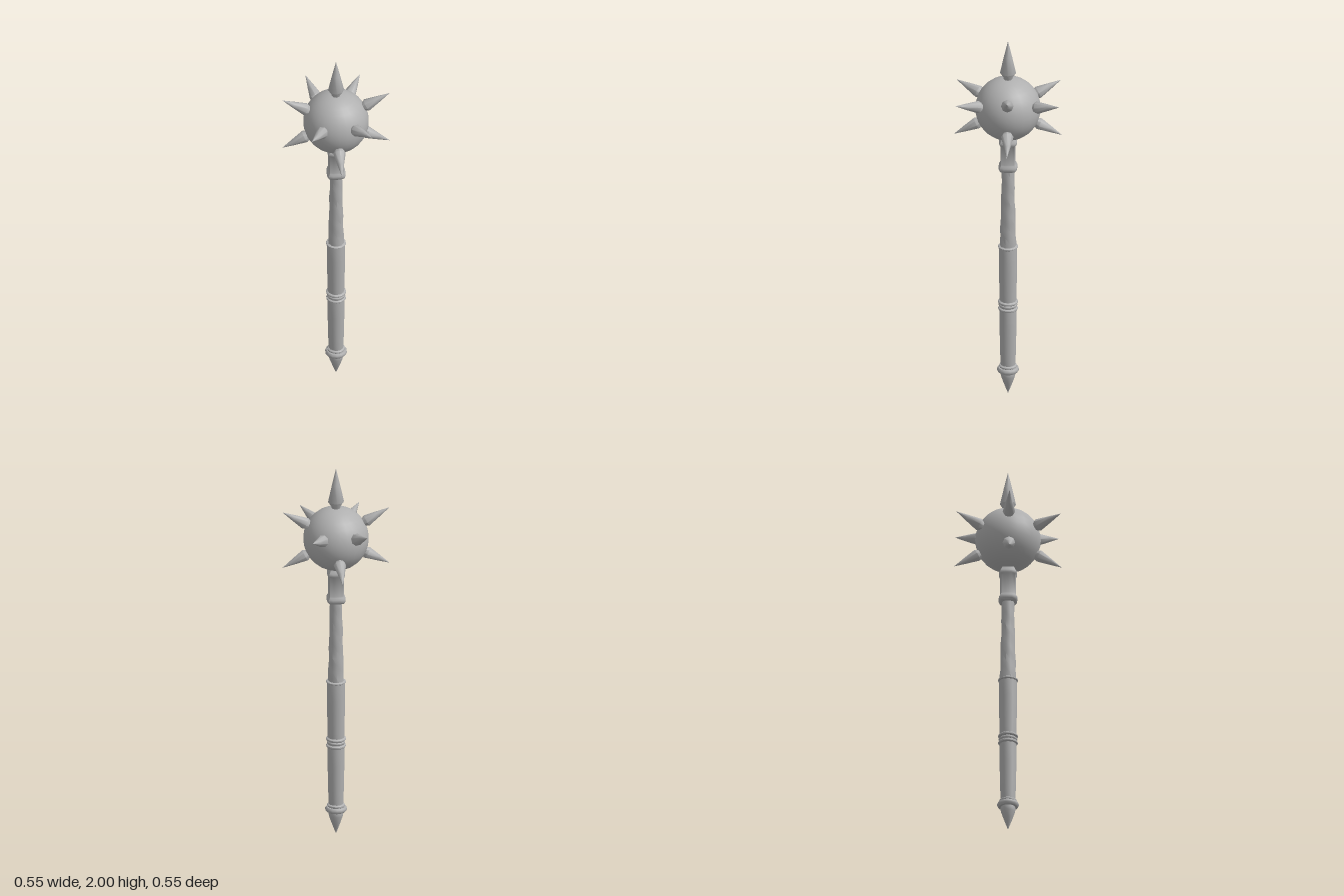
import * as THREE from 'three';
import { mergeVertices, toCreasedNormals } from 'three/addons/utils/BufferGeometryUtils.js';

const steel = new THREE.MeshStandardMaterial({ color: 0xb0b0b0 });
steel.name = 'steel grey';

const BALL_Y = 1.62;
const BALL_R = 0.167;

// Turned part from [radius, height] pairs, listed bottom to top.
// shape(angle, y) scales the radius, for squared or uneven sections.
function turned(name, profile, sides, shape, crease = 0.8) {
  const points = profile.map(([r, y]) => new THREE.Vector2(r, y));
  let geometry = new THREE.LatheGeometry(points, sides);
  if (shape) {
    const p = geometry.attributes.position;
    for (let i = 0; i < p.count; i++) {
      const k = shape(Math.atan2(p.getZ(i), p.getX(i)), p.getY(i));
      p.setX(i, p.getX(i) * k);
      p.setZ(i, p.getZ(i) * k);
    }
  }
  geometry.deleteAttribute('uv');
  geometry.deleteAttribute('normal');
  geometry = toCreasedNormals(mergeVertices(geometry), crease);
  const mesh = new THREE.Mesh(geometry, steel);
  mesh.name = name;
  return mesh;
}

// Spike with a narrow neck, flared base and long point, aimed at the tip.
function spike(name, base, tip, radius) {
  const length = base.distanceTo(tip);
  const mesh = turned(name, [
    [radius * 0.5, -0.045], [radius * 0.55, -0.028], [radius, 0],
    [radius * 0.52, length * 0.5], [0, length],
  ], 8, null, 0.9);
  mesh.position.copy(base);
  const aim = tip.clone().sub(base).normalize();
  mesh.quaternion.setFromUnitVectors(new THREE.Vector3(0, 1, 0), aim);
  return mesh;
}

export function createModel() {
  const model = new THREE.Group();
  model.name = 'spikedMace';
  const centre = new THREE.Vector3(0, BALL_Y, 0);

  // Head
  const ball = new THREE.Mesh(new THREE.SphereGeometry(BALL_R, 24, 16), steel);
  ball.name = 'ball';
  ball.position.copy(centre);
  model.add(ball);

  // Spikes around the head: six above the middle, four below, one on top
  const tips = [];
  for (const s of [1, -1]) {
    tips.push([s * 0.275, 1.775, 0], [s * 0.275, 1.47, 0], [0, 1.47, s * 0.275]);
    tips.push([s * 0.153, 1.703, 0.265], [s * 0.153, 1.703, -0.265]);
  }
  const spikes = new THREE.Group();
  spikes.name = 'spikes';
  for (const t of tips) {
    const tip = new THREE.Vector3(...t);
    const base = tip.clone().sub(centre).setLength(0.18).add(centre);
    // One spike at the back is knocked out of line
    if (t[0] < 0 && t[2] < 0) tip.set(-0.127, 1.72, -0.267);
    spikes.add(spike('sideSpike', base, tip, 0.032));
  }
  spikes.add(spike('topSpike', new THREE.Vector3(0, 1.82, 0), new THREE.Vector3(0, 2, 0), 0.041));
  model.add(spikes);

  // Squared socket with a collar at each end
  const squared = (a) =>
    Math.pow(Math.abs(Math.cos(a)) ** 5 + Math.abs(Math.sin(a)) ** 5, -0.2);
  model.add(turned('socket', [
    [0.03, 1.268], [0.042, 1.272], [0.047, 1.28], [0.047, 1.295], [0.041, 1.306],
    [0.039, 1.312], [0.039, 1.415], [0.045, 1.422], [0.045, 1.435], [0.039, 1.445], [0.03, 1.47],
  ], 16, squared));

  // Rough-hewn upper shaft
  const hewn = (a, y) =>
    1 + 0.035 * Math.sin(3 * a + y * 37) + 0.025 * Math.sin(2 * a - y * 61);
  const shaft = [];
  for (let i = 0; i <= 12; i++) {
    const t = i / 12;
    shaft.push([0.032 + 0.01 * (1 - t) ** 1.5, 0.82 + 0.46 * t]);
  }
  model.add(turned('upperShaft', shaft, 10, hewn));

  // Two grip sections
  model.add(turned('upperGrip', [
    [0.042, 0.51], [0.043, 0.56], [0.045, 0.65], [0.046, 0.74], [0.046, 0.83],
  ], 12));
  model.add(turned('lowerGrip', [
    [0.037, 0.15], [0.039, 0.2], [0.041, 0.28], [0.043, 0.38], [0.044, 0.5],
  ], 12));

  // Rings along the handle: [name, height, radius, half thickness]
  const rings = [
    ['gripTopRing', 0.834, 0.051, 0.007],
    ['middleRing', 0.521, 0.051, 0.009],
    ['middleRing', 0.503, 0.047, 0.01],
    ['middleRing', 0.484, 0.05, 0.009],
    ['pommelCollar', 0.157, 0.045, 0.009],
    ['pommelRing', 0.137, 0.055, 0.013],
  ];
  for (const [name, y, r, h] of rings) {
    model.add(turned(name, [
      [0.03, y - h], [r - 0.006, y - h], [r, y - h * 0.4],
      [r, y + h * 0.4], [r - 0.006, y + h], [0.03, y + h],
    ], 14));
  }

  // Pointed pommel
  model.add(turned('pommel', [
    [0, 0], [0.012, 0.03], [0.026, 0.068], [0.036, 0.098], [0.038, 0.112], [0.036, 0.13],
  ], 12));

  return model;
}
